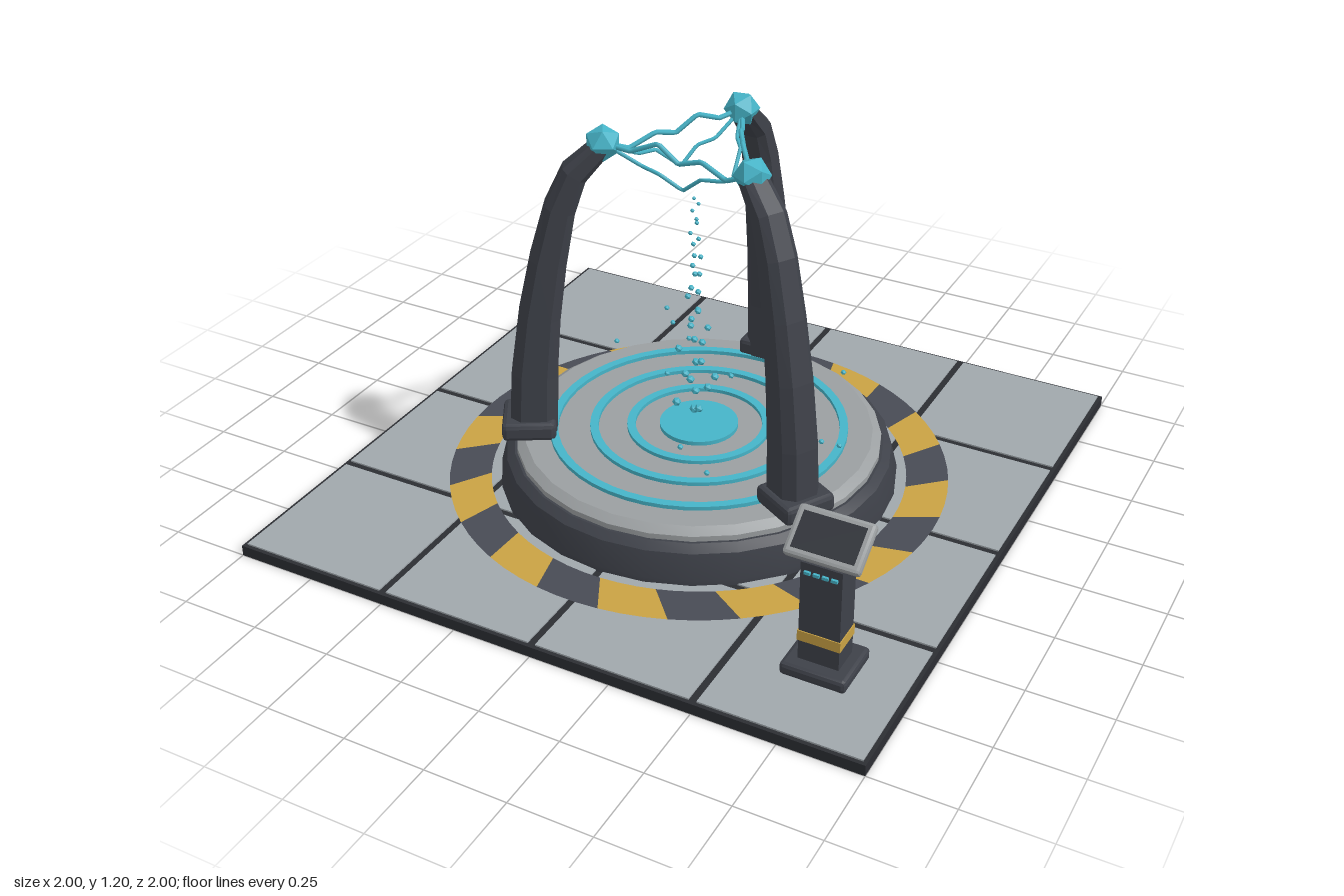
import * as THREE from 'three';
import { toCreasedNormals } from 'three/addons/utils/BufferGeometryUtils.js';
import { RoundedBoxGeometry } from 'three/addons/geometries/RoundedBoxGeometry.js';

const mat = (name, color) => Object.assign(new THREE.MeshStandardMaterial({ color }), { name });

export function createModel() {
  const root = new THREE.Group();
  const slabMat = mat('slab black', 0x2c2e33);
  const tileMat = mat('tile grey', 0xa0a7ac);
  const metalMat = mat('dark metal', 0x3e4149);
  const stripeMat = mat('stripe charcoal', 0x484b55);
  const yellowMat = mat('hazard yellow', 0xc9a244);
  const platformMat = mat('platform grey', 0x9b9fa1);
  const glowMat = mat('energy cyan', 0x46b4c8);
  const screenMat = mat('screen black', 0x33363c);

  const add = (name, geometry, material, x = 0, y = 0, z = 0, parent = root) => {
    const mesh = new THREE.Mesh(geometry, material);
    mesh.name = name;
    mesh.position.set(x, y, z);
    parent.add(mesh);
    return mesh;
  };
  const box = (w, h, d) => new THREE.BoxGeometry(w, h, d);
  const bevelBox = (w, h, d, r) => toCreasedNormals(new RoundedBoxGeometry(w, h, d, 1, r), 0.3);
  const lathe = (points, sides) => toCreasedNormals(
    new THREE.LatheGeometry(points.map(p => new THREE.Vector2(...p)), sides), 0.4);
  const polar = (r, a, y = 0) => new THREE.Vector3(r * Math.sin(a), y, r * Math.cos(a));
  const flatGeometry = (positions) => {
    const g = new THREE.BufferGeometry();
    g.setAttribute('position', new THREE.Float32BufferAttribute(positions, 3));
    g.computeVertexNormals();
    return g;
  };

  // Floor slab with a 4 x 4 grid of tiles
  add('floorSlab', box(2, 0.034, 2), slabMat, 0, 0.017, 0);
  for (const x of [-0.75, -0.25, 0.25, 0.75]) {
    for (const z of [-0.75, -0.25, 0.25, 0.75]) {
      add('floorTile', box(0.476, 0.006, 0.476), tileMat, x, 0.036, z);
    }
  }

  // Hazard ring: slanted stripes in two alternating colours
  const stripes = [[], []];
  const step = THREE.MathUtils.degToRad(15), skew = THREE.MathUtils.degToRad(-4.5);
  for (let i = 0; i < 24; i++) {
    for (let k = 0; k < 3; k++) {
      const a0 = 0.11 + step * (i + k / 3), a1 = a0 + step / 3;
      const [p, q, r, s] = [polar(0.65, a0 + skew, 0.042), polar(0.78, a0, 0.042),
        polar(0.78, a1, 0.042), polar(0.65, a1 + skew, 0.042)];
      for (const v of [p, q, r, p, r, s]) stripes[i % 2].push(v.x, v.y, v.z);
    }
  }
  add('hazardStripesYellow', flatGeometry(stripes[0]), yellowMat);
  add('hazardStripesDark', flatGeometry(stripes[1]), stripeMat);

  // Round platform
  add('platformBase', lathe([[0, 0.035], [0.62, 0.035], [0.62, 0.055], [0.6, 0.135], [0.575, 0.155], [0, 0.155]], 28), metalMat);
  add('platformTop', lathe([[0.567, 0.15], [0.567, 0.172], [0.54, 0.19], [0, 0.192]], 28), platformMat);
  for (const r of [0.45, 0.325, 0.21]) {
    add('glowRing', lathe([[r - 0.013, 0.188], [r + 0.013, 0.188], [r + 0.013, 0.203], [r - 0.013, 0.203], [r - 0.013, 0.188]], 48), glowMat);
  }
  add('glowDisc', new THREE.CylinderGeometry(0.122, 0.122, 0.018, 32), glowMat, 0, 0.196, 0);

  // Curved pylon: chamfered sections swept inward; each row is radius, height, half depth, half width
  const stations = [[0.51, 0.2, 0.072, 0.065], [0.5, 0.4, 0.07, 0.062], [0.477, 0.6, 0.063, 0.058],
    [0.445, 0.78, 0.055, 0.054], [0.405, 0.95, 0.046, 0.05], [0.36, 1.06, 0.039, 0.047], [0.275, 1.145, 0.028, 0.04]];
  const section = [[1, 0.55], [0.55, 1], [-0.55, 1], [-1, 0.55], [-1, -0.55], [-0.55, -1], [0.55, -1], [1, -0.55]];
  const rings = stations.map(([r, y, d, w], i) => {
    const a = stations[Math.max(i - 1, 0)], b = stations[Math.min(i + 1, stations.length - 1)];
    const len = Math.hypot(b[0] - a[0], b[1] - a[1]);
    const ny = -(b[0] - a[0]) / len, nz = (b[1] - a[1]) / len;
    return section.map(([u, v]) => [u * w, y + v * d * ny, r + v * d * nz]);
  });
  const pylon = [];
  for (let i = 0; i < rings.length - 1; i++) {
    for (let j = 0; j < 8; j++) {
      const k = (j + 1) % 8;
      const [a, b, c, d] = [rings[i][j], rings[i + 1][j], rings[i + 1][k], rings[i][k]];
      pylon.push(...a, ...c, ...b, ...a, ...d, ...c);
    }
  }
  const tip = rings[rings.length - 1];
  for (let j = 1; j < 7; j++) pylon.push(...tip[0], ...tip[j + 1], ...tip[j]);
  // Wind the faces outward
  for (let i = 0; i < pylon.length; i += 9) {
    for (let k = 0; k < 3; k++) [pylon[i + 3 + k], pylon[i + 6 + k]] = [pylon[i + 6 + k], pylon[i + 3 + k]];
  }
  const pylonGeometry = flatGeometry(pylon);
  orientOutward(pylonGeometry);

  const angles = [Math.PI, Math.PI / 3, -Math.PI / 3];
  for (const a of angles) {
    const group = new THREE.Group();
    group.name = 'pylon';
    group.rotation.y = a;
    root.add(group);
    add('pylonFoot', bevelBox(0.17, 0.058, 0.165, 0.014), metalMat, 0, 0.223, 0.523, group);
    add('pylonArm', pylonGeometry, metalMat, 0, 0, 0, group);
    add('emitterOrb', new THREE.IcosahedronGeometry(0.055, 0), glowMat, 0, 1.15, 0.275, group);
  }

  // Jagged energy arcs between neighbouring orbs: offsets are height and pull to the centre
  const arcs = [
    { r: 0.008, jag: [[-0.035, 0.02], [0.0, 0.1], [-0.02, 0.07], [0.025, 0.13], [-0.01, 0.04]] },
    { r: 0.006, jag: [[-0.05, 0.15], [-0.055, 0.1], [-0.115, 0.28], [-0.07, 0.15], [-0.06, 0.2]] },
  ];
  angles.forEach((a, i) => {
    const p = polar(0.275, a, 1.15), q = polar(0.275, angles[(i + 1) % 3], 1.15);
    for (const { r, jag } of arcs) {
      const mid = jag.map(([dy, pull], k) => {
        const v = p.clone().lerp(q, (k + 1) / (jag.length + 1));
        return new THREE.Vector3(v.x * (1 - pull), v.y + dy, v.z * (1 - pull));
      });
      const path = new THREE.CatmullRomCurve3([p, ...mid, q], false, 'catmullrom', 0);
      add('energyArc', new THREE.TubeGeometry(path, 36, r, 5), glowMat);
    }
  });

  // Rising sparks: a loose spiral column and a few strays
  for (let i = 0; i < 34; i++) {
    const t = i / 33, a = i * 2.4;
    const p = polar(0.008 + 0.065 * t * (0.5 + 0.5 * Math.sin(i * 1.7)), a, 0.97 - 0.74 * t);
    add('spark', new THREE.IcosahedronGeometry(0.006 + 0.009 * t, 0), glowMat, p.x - 0.012, p.y, p.z);
  }
  const strays = [[0.15, 0.385, 0.4], [0.22, 0.3, 0.37], [-0.33, 0.25, -0.44], [0.34, 0.3, -0.33], [-0.39, 0.3, -0.17],
    [0.47, 0.25, -0.01], [0.45, 0.31, 0.08], [-0.1, 0.36, 0.02], [0.1, 0.385, -0.02], [-0.2, 0.29, -0.31], [-0.27, 0.395, -0.29]];
  for (const s of strays) add('straySpark', new THREE.IcosahedronGeometry(0.009, 0), glowMat, ...s);

  // Control console
  const desk = new THREE.Group();
  desk.name = 'console';
  desk.position.set(0.75, 0, 0.7);
  root.add(desk);
  add('consoleFoot', bevelBox(0.195, 0.04, 0.175, 0.012), metalMat, 0, 0.057, 0, desk);
  const side = new THREE.Shape([[-0.045, 0.06], [0.045, 0.06], [0.045, 0.395], [-0.045, 0.455]].map(p => new THREE.Vector2(...p)));
  const post = new THREE.ExtrudeGeometry(side, { depth: 0.12, bevelEnabled: false }).translate(0, 0, -0.06).rotateY(-Math.PI / 2);
  add('consolePost', post, metalMat, 0, 0, 0, desk);
  add('consoleBand', box(0.126, 0.032, 0.096), yellowMat, 0, 0.155, 0, desk);
  for (const x of [-0.039, -0.013, 0.013, 0.039]) add('consoleLight', box(0.018, 0.009, 0.009), glowMat, x, 0.367, 0.048, desk);
  const head = new THREE.Group();
  head.name = 'consoleHead';
  head.position.set(0, 0.452, -0.005);
  head.rotation.x = 0.64;
  desk.add(head);
  add('consoleFrame', bevelBox(0.22, 0.032, 0.145, 0.01), platformMat, 0, 0, 0, head);
  add('consoleScreen', box(0.18, 0.006, 0.105), screenMat, 0, 0.016, 0, head);

  return root;
}

// Flip the winding if the closed surface has negative volume
function orientOutward(g) {
  const p = g.attributes.position, [a, b, c] = [0, 1, 2].map(() => new THREE.Vector3());
  let volume = 0;
  for (let i = 0; i < p.count; i += 3) {
    [a, b, c].forEach((v, k) => v.fromBufferAttribute(p, i + k).sub(new THREE.Vector3(0, 0.2, 0.51)));
    volume += a.dot(b.clone().cross(c));
  }
  if (volume > 0) return;
  for (let i = 0; i < p.count; i += 3) {
    b.fromBufferAttribute(p, i + 1);
    c.fromBufferAttribute(p, i + 2);
    p.setXYZ(i + 1, c.x, c.y, c.z);
    p.setXYZ(i + 2, b.x, b.y, b.z);
  }
  g.computeVertexNormals();
}
